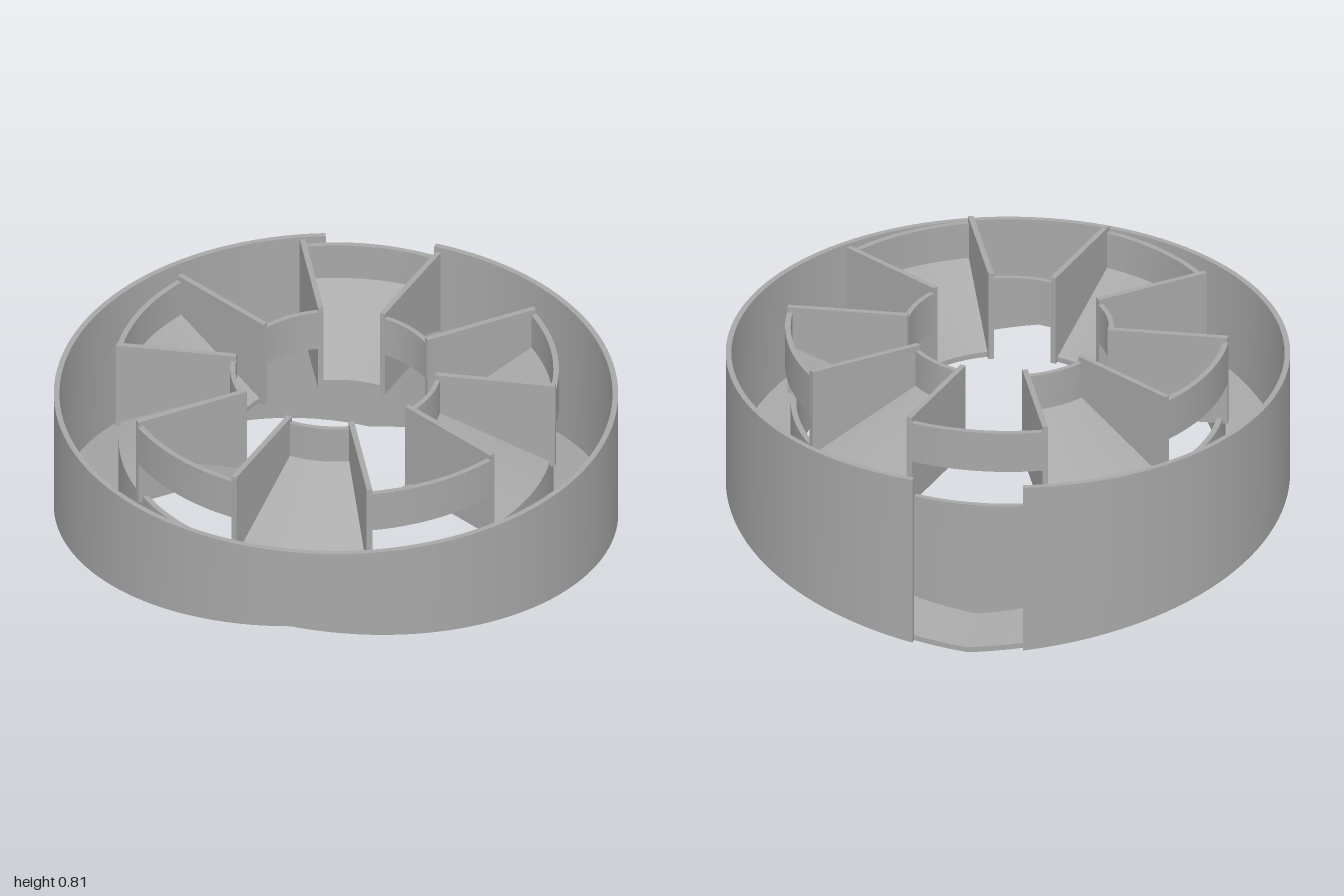
import * as THREE from 'three';
import { toCreasedNormals } from 'three/addons/utils/BufferGeometryUtils.js';

const RIM = 0.68, HUB_LOW = 0.46, STRIP_TOP = 0.785, VANE_TOP = 0.805;
const GAP = 0.2; // half angle of the outlet in the outer wall
const STEP = Math.PI / 5; // ten hub sectors

// Underside of the spiral floor: high at the front, falling both ways to the back
const rise = (t) => 0.36 * (1 - Math.abs(t) / Math.PI);

// Sweeps a convex counter-clockwise [radius, y] profile around the y axis, t = 0 at the front
function sweep(t0, t1, segments, profile) {
  const pos = [];
  const rings = [];
  for (let i = 0; i <= segments; i++) {
    const t = t0 + ((t1 - t0) * i) / segments;
    rings.push(profile(t).map(([r, y]) => [r * Math.sin(t), y, r * Math.cos(t)]));
  }
  const tri = (a, b, c) => pos.push(...a, ...b, ...c);
  const n = rings[0].length;
  for (let i = 0; i < segments; i++) {
    for (let j = 0; j < n; j++) {
      const k = (j + 1) % n;
      const a = rings[i][j], b = rings[i][k], c = rings[i + 1][k], d = rings[i + 1][j];
      tri(a, d, c);
      tri(a, c, b);
    }
  }
  // End caps for open sweeps
  if (t1 - t0 < Math.PI * 2 - 1e-6) {
    const s = rings[0], e = rings[segments];
    for (let j = 1; j < n - 1; j++) {
      tri(s[0], s[j], s[j + 1]);
      tri(e[0], e[j + 1], e[j]);
    }
  }
  const geo = new THREE.BufferGeometry();
  geo.setAttribute('position', new THREE.Float32BufferAttribute(pos, 3));
  return toCreasedNormals(geo, 0.35);
}

export function createModel() {
  const model = new THREE.Group();
  model.name = 'voluteHousing';
  const grey = new THREE.MeshStandardMaterial({ color: 0xa8a8a8 });
  grey.name = 'grey';

  const body = new THREE.Group();
  body.name = 'body';
  body.position.z = -0.01;
  model.add(body);

  const add = (name, geo, parent = body) => {
    const mesh = new THREE.Mesh(geo, grey);
    mesh.name = name;
    parent.add(mesh);
    return mesh;
  };
  const box = (r0, r1, y0, y1) => () => [[r0, y0], [r1, y0], [r1, y1], [r0, y1]];

  // Outer wall, open at the back
  add('outerWall', sweep(-Math.PI + GAP, Math.PI - GAP, 120, (t) => [
    [0.98, rise(t)], [1, rise(t)], [1, RIM], [0.98, RIM],
  ]));

  // Spiral floor, its inner edge slightly raised
  add('spiralFloor', sweep(-Math.PI, Math.PI, 120, (t) => {
    const y = rise(t);
    return [[0.75, y + 0.025], [0.98, y], [0.98, y + 0.02], [0.75, y + 0.045]];
  }));

  // Inner wall around the bottom opening
  add('innerWall', sweep(-Math.PI, Math.PI, 120, (t) => [
    [0.75, rise(t) + 0.025], [0.77, rise(t) + 0.025], [0.77, 0.48], [0.75, 0.48],
  ]));

  // Hub: alternating sectors, sloping inward or outward
  const hub = new THREE.Group();
  hub.name = 'hub';
  body.add(hub);
  const half = STEP / 2;
  for (let i = 0; i < 10; i++) {
    const mid = i * STEP;
    const span = [mid - half, mid + half, 12];
    if (i % 2) {
      // Closed outside, ramp falls toward the centre
      add('inwardRamp', sweep(...span, () => [
        [0.375, HUB_LOW], [0.78, 0.63], [0.78, 0.65], [0.375, HUB_LOW + 0.02],
      ]), hub);
      add('outerStrip', sweep(...span, box(0.77, 0.79, 0.63, STRIP_TOP)), hub);
    } else {
      // Closed inside, ramp falls outward onto the inner wall
      add('outwardRamp', sweep(...span, () => [
        [0.365, 0.63], [0.77, HUB_LOW], [0.77, HUB_LOW + 0.02], [0.365, 0.65],
      ]), hub);
      add('innerStrip', sweep(...span, box(0.357, 0.375, 0.63, STRIP_TOP)), hub);
    }
    // Radial vane on the sector boundary
    const vaneAngle = mid + half;
    const vane = add('radialVane', new THREE.BoxGeometry(0.02, VANE_TOP - HUB_LOW, 0.43), hub);
    vane.position.set(
      0.573 * Math.sin(vaneAngle), (VANE_TOP + HUB_LOW) / 2, 0.573 * Math.cos(vaneAngle));
    vane.rotation.y = vaneAngle;
  }
  return model;
}
